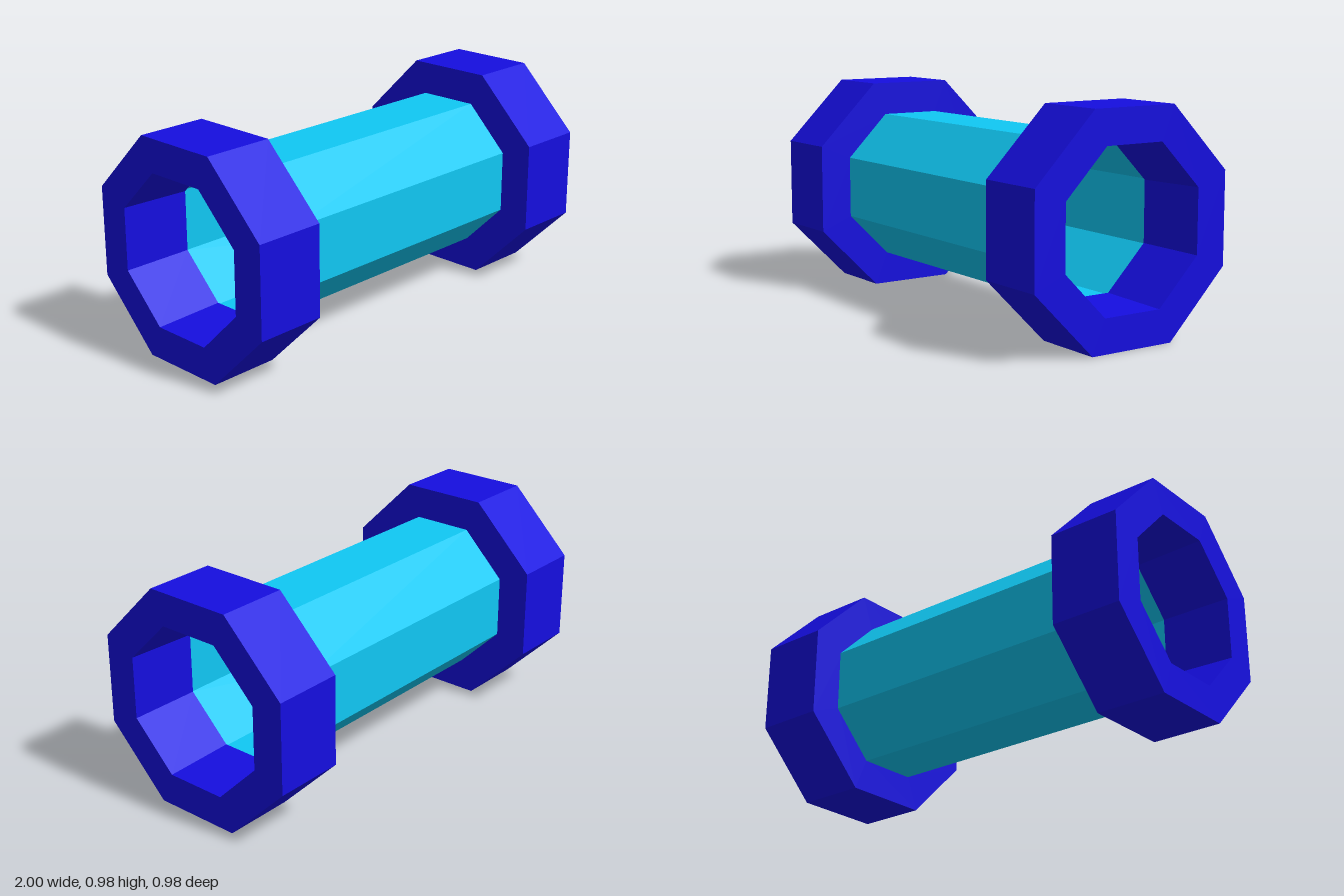
import * as THREE from 'three';

const APOTHEM = Math.cos(Math.PI / 8); // flat-to-centre ratio of an octagon
const CENTRE_Y = 0.4885;

// Eight-sided turned part: profile points are [flat-to-centre distance, height]
function octagonLathe(profile, color, side = THREE.FrontSide) {
  const points = profile.map(([r, h]) => new THREE.Vector2(r / APOTHEM, h));
  const geometry = new THREE.LatheGeometry(points, 8, Math.PI / 8);
  const material = new THREE.MeshStandardMaterial({ color, flatShading: true, side });
  return new THREE.Mesh(geometry, material);
}

export function createModel() {
  const model = new THREE.Group();
  model.name = 'octagonalSpool';

  // Thin open tube between the collars
  const tube = octagonLathe([[0.339, -0.68], [0.339, 0.68]], 0x10c8f4, THREE.DoubleSide);
  tube.name = 'tube';
  tube.rotation.z = -Math.PI / 2;
  tube.position.y = CENTRE_Y;
  model.add(tube);

  // Collars with a bore that widens slightly towards the open end
  for (const [name, sign] of [['leftCollar', 1], ['rightCollar', -1]]) {
    const collar = octagonLathe(
      [[0.33, 0.68], [CENTRE_Y, 0.68], [CENTRE_Y, 1], [0.341, 1], [0.33, 0.68]],
      0x150ee0
    );
    collar.name = name;
    collar.rotation.z = -sign * Math.PI / 2;
    collar.position.y = CENTRE_Y;
    model.add(collar);
  }

  return model;
}
